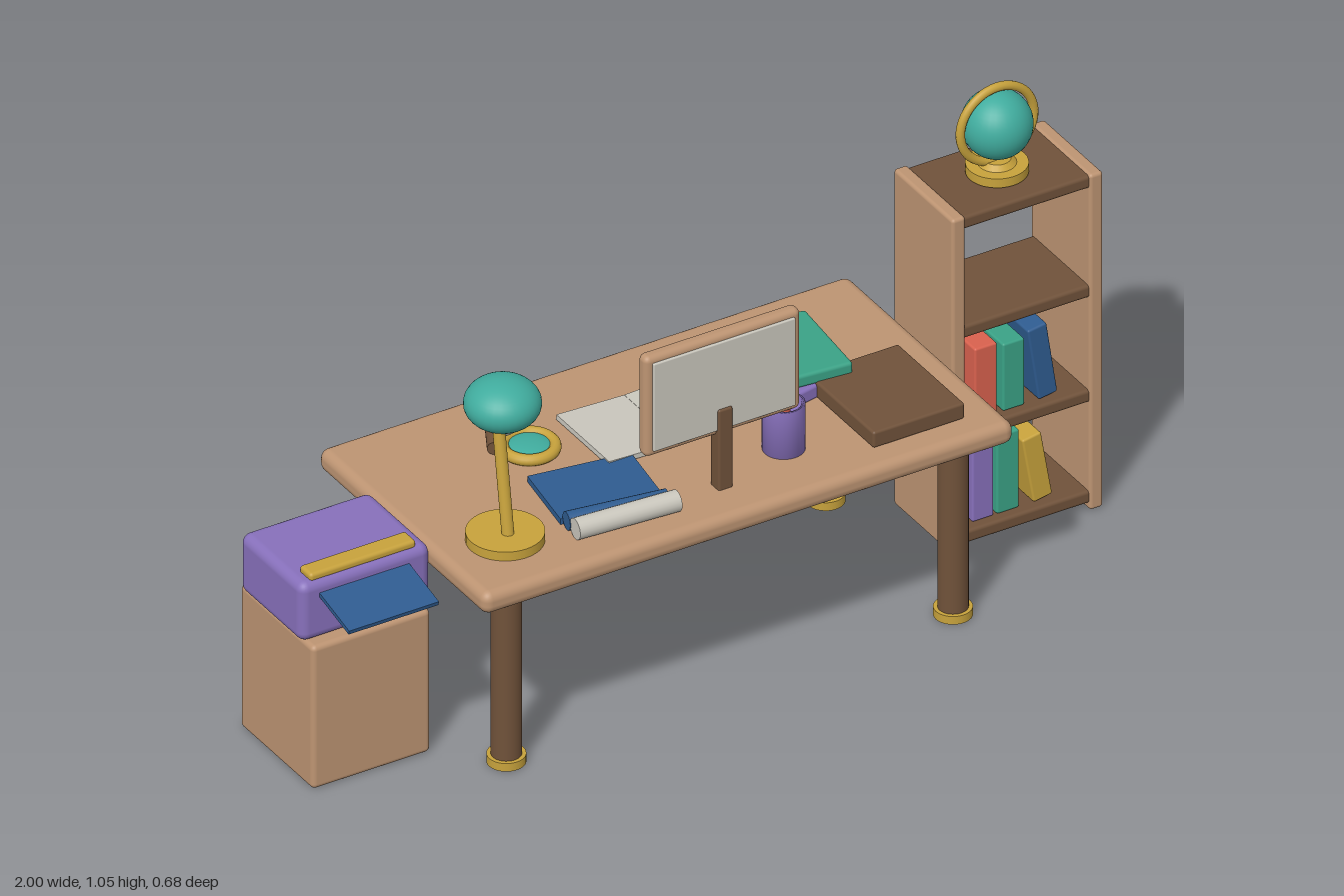
import * as THREE from 'three';
import { RoundedBoxGeometry } from 'three/addons/geometries/RoundedBoxGeometry.js';

function material(name, color) {
  const m = new THREE.MeshStandardMaterial({ color });
  m.name = name;
  return m;
}

export function createModel() {
  const tan = material('light wood', 0xbd9472);
  const brown = material('dark wood', 0x70523a);
  const gold = material('brass', 0xc7a23c);
  const teal = material('teal', 0x40ac9e);
  const green = material('green', 0x3aa286);
  const purple = material('purple', 0x8770bb);
  const blue = material('blue', 0x2f5c90);
  const paper = material('paper', 0xcac7bd);
  const red = material('coral', 0xd9614e);

  const model = new THREE.Group();
  model.name = 'office';

  function add(parent, name, geometry, mat, x = 0, y = 0, z = 0) {
    const mesh = new THREE.Mesh(geometry, mat);
    mesh.name = name;
    mesh.position.set(x, y, z);
    parent.add(mesh);
    return mesh;
  }
  function group(name) {
    const g = new THREE.Group();
    g.name = name;
    model.add(g);
    return g;
  }
  // Rounded box given by its lower and upper limits on each axis
  function block(parent, name, mat, [x0, x1], [y0, y1], [z0, z1], r = 0.006) {
    return add(parent, name, new RoundedBoxGeometry(x1 - x0, y1 - y0, z1 - z0, 3, r), mat,
      (x0 + x1) / 2, (y0 + y1) / 2, (z0 + z1) / 2);
  }
  const disc = (r, h, n = 32) => new THREE.CylinderGeometry(r, r, h, n);
  // Round rod between two points
  function rod(parent, name, mat, a, b, r) {
    const from = new THREE.Vector3(...a), to = new THREE.Vector3(...b);
    const mesh = add(parent, name, disc(r, from.distanceTo(to), 20), mat);
    mesh.position.copy(from).lerp(to, 0.5);
    mesh.quaternion.setFromUnitVectors(new THREE.Vector3(0, 1, 0), to.sub(from).normalize());
    return mesh;
  }

  // Desk
  const desk = group('desk');
  const TOP = 0.487;
  block(desk, 'desktop', tan, [-0.68, 0.62], [0.433, TOP], [-0.338, 0.338], 0.022);
  block(desk, 'frontRail', brown, [-0.57, 0.51], [0.369, 0.436], [0.132, 0.184], 0.012);
  for (const x of [-0.578, 0.516]) {
    for (const z of [-0.257, 0.257]) {
      add(desk, 'leg', disc(0.033, 0.43), brown, x, 0.22, z);
      add(desk, 'foot', disc(0.042, 0.02), gold, x, 0.01, z);
    }
  }

  // Cabinet with printer
  const printer = group('printerStand');
  block(printer, 'cabinet', tan, [-0.985, -0.695], [0, 0.355], [-0.148, 0.146], 0.012);
  block(printer, 'printerBody', purple, [-1, -0.68], [0.355, 0.5], [-0.127, 0.124], 0.022);
  block(printer, 'printerBar', gold, [-0.97, -0.71], [0.494, 0.514], [0.066, 0.112], 0.008);
  const tray = add(printer, 'paperTray', new THREE.BoxGeometry(0.22, 0.01, 0.16), blue, -0.845, 0.456, 0.165);
  tray.rotation.x = 0.24;

  // Bookcase
  const bookcase = group('bookcase');
  for (const x of [0.63, 0.967]) {
    block(bookcase, 'sidePanel', tan, [x, x + 0.033], [0, 0.835], [-0.172, 0.067], 0.008);
  }
  for (const y of [0.016, 0.267, 0.528, 0.8]) {
    block(bookcase, 'shelf', brown, [0.655, 0.975], [y, y + 0.031], [-0.167, 0.062], 0.008);
  }
  // Standing books: colour, centre x, shelf height, thickness, height, lean
  for (const [mat, x, y, w, h, lean] of [
    [purple, 0.722, 0.047, 0.053, 0.177, 0], [green, 0.783, 0.047, 0.055, 0.195, 0],
    [gold, 0.855, 0.049, 0.047, 0.165, 0.17], [red, 0.729, 0.298, 0.055, 0.178, 0],
    [green, 0.797, 0.298, 0.053, 0.167, 0], [blue, 0.868, 0.3, 0.047, 0.182, 0.15],
  ]) {
    const book = add(bookcase, 'book', new RoundedBoxGeometry(w, h, 0.17, 2, 0.005), mat, x, y + h / 2, -0.045);
    book.rotation.z = lean;
  }

  // Globe
  const globe = group('globe');
  globe.position.set(0.812, 0, -0.053);
  add(globe, 'globeBase', disc(0.067, 0.022), gold, 0, 0.845, 0);
  add(globe, 'globeNeck', new THREE.CylinderGeometry(0.03, 0.045, 0.014, 24), gold, 0, 0.86, 0);
  add(globe, 'globeBall', new THREE.SphereGeometry(0.077, 32, 24), teal, 0, 0.952, 0);
  add(globe, 'globeRing', new THREE.TorusGeometry(0.09, 0.01, 12, 48), gold, 0, 0.952, 0);

  // Monitor, its icons facing the back of the desk
  const monitor = group('monitor');
  block(monitor, 'monitorFrame', tan, [-0.222, 0.16], [0.617, 0.866], [0.198, 0.232], 0.014);
  for (const z of [0.196, 0.234]) {
    block(monitor, 'screenPanel', paper, [-0.205, 0.143], [0.633, 0.851], [z - 0.004, z + 0.004], 0.003);
  }
  block(monitor, 'monitorStand', brown, [-0.049, -0.014], [TOP - 0.01, 0.686], [0.208, 0.243], 0.005);
  [[gold, 0.08], [red, -0.005], [green, -0.09]].forEach(([mat, x]) =>
    block(monitor, 'screenIcon', mat, [x - 0.03, x + 0.03], [0.737, 0.813], [0.184, 0.193], 0.003));

  // Desk lamp
  const lamp = group('lamp');
  add(lamp, 'lampBase', disc(0.084, 0.022, 40), gold, -0.528, 0.498, 0.17);
  rod(lamp, 'lampArm', gold, [-0.528, 0.5, 0.182], [-0.524, 0.76, 0.135], 0.0135);
  add(lamp, 'lampShade', new THREE.SphereGeometry(0.083, 32, 24), teal, -0.492, 0.777, 0.1).scale.y = 0.69;
  add(lamp, 'bulb', new THREE.SphereGeometry(0.042, 24, 16), paper, -0.492, 0.743, 0.1);

  // Pencil cup
  const cup = group('pencilCup');
  const profile = [[0, 0], [0.046, 0], [0.046, 0.113], [0.038, 0.113], [0.038, 0.085], [0, 0.085]];
  const cupBody = new THREE.LatheGeometry(profile.map(p => new THREE.Vector2(...p)), 32).toNonIndexed();
  add(cup, 'cup', cupBody, purple, 0.154, TOP, 0.17);
  rod(cup, 'pencil', red, [0.158, 0.55, 0.172], [0.15, 0.68, 0.189], 0.009);
  rod(cup, 'pencil', gold, [0.15, 0.55, 0.165], [0.168, 0.672, 0.158], 0.009);
  rod(cup, 'pencil', red, [0.155, 0.55, 0.175], [0.162, 0.675, 0.175], 0.008);

  // Books and open pages on the desk
  const reading = group('deskBooks');
  block(reading, 'darkBook', brown, [0.312, 0.536], [TOP, 0.527], [0.003, 0.272], 0.006);
  const lower = block(reading, 'lowerBook', purple, [0.235, 0.405], [TOP, 0.521], [-0.19, 0.04], 0.007);
  lower.rotation.y = 0.2;
  const upper = block(reading, 'upperBook', green, [0.234, 0.409], [0.521, 0.552], [-0.188, 0.042], 0.008);
  upper.rotation.y = -0.09;
  for (const side of [-1, 1]) {
    const page = add(reading, 'openPage', new THREE.BoxGeometry(0.166, 0.012, 0.213), paper,
      -0.034 + side * 0.0835, 0.495, -0.057);
    page.rotation.z = side * 0.04;
  }

  // Blue plan and rolled sheets
  const plans = group('plans');
  plans.position.set(-0.27, 0, 0.11);
  plans.rotation.y = -0.15;
  add(plans, 'planSheet', new THREE.BoxGeometry(0.235, 0.014, 0.18), blue, 0, 0.494, 0);
  rod(plans, 'blueRoll', blue, [-0.113, 0.508, 0.112], [0.115, 0.508, 0.112], 0.021);
  rod(plans, 'paperRoll', paper, [-0.11, 0.511, 0.152], [0.13, 0.511, 0.132], 0.024);

  // Magnifying glass
  const lens = group('magnifier');
  add(lens, 'lensRing', new THREE.TorusGeometry(0.055, 0.013, 12, 40), gold, -0.308, 0.5, -0.095).rotation.x = Math.PI / 2;
  add(lens, 'lens', new THREE.SphereGeometry(0.05, 28, 16), teal, -0.308, 0.5, -0.095).scale.y = 0.25;
  rod(lens, 'handle', brown, [-0.378, 0.502, -0.122], [-0.33, 0.502, -0.212], 0.015);

  return model;
}
